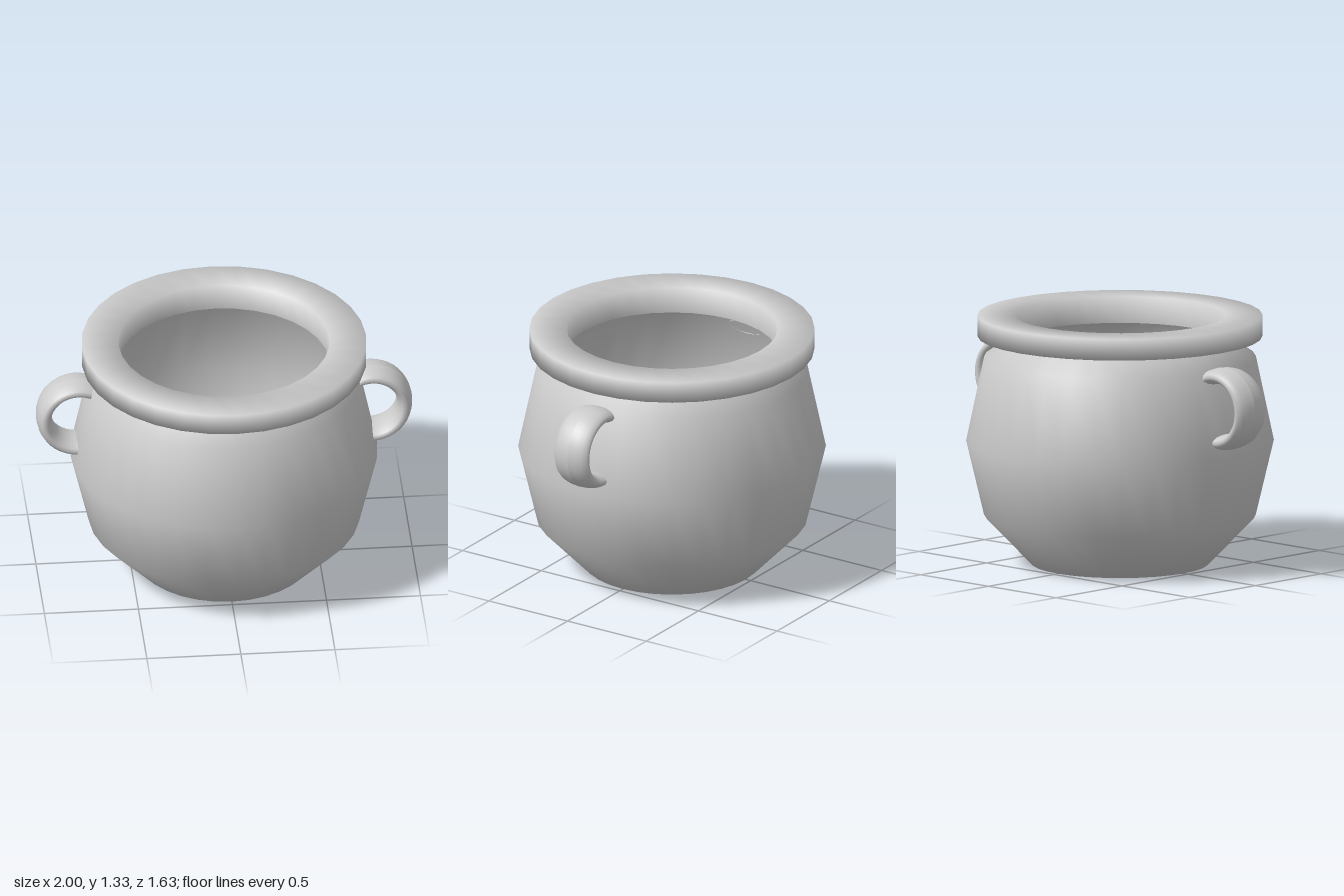
import * as THREE from 'three';

const SEGMENTS = 32;

// Smooth surface of revolution from [radius, height] pairs
function lathe(name, profile, material) {
  const points = profile.map(([r, y]) => new THREE.Vector2(r, y));
  const mesh = new THREE.Mesh(new THREE.LatheGeometry(points, SEGMENTS), material);
  mesh.name = name;
  return mesh;
}

export function createModel() {
  const group = new THREE.Group();
  group.name = 'pot';
  const material = new THREE.MeshStandardMaterial({ color: 0xcccccc, side: THREE.DoubleSide });

  // Thin round-bellied body, open at the top
  group.add(lathe('body', [
    [0, 0], [0.47, 0], [0.72, 0.26], [0.815, 0.66], [0.72, 1.11], [0.56, 1.22],
  ], material));

  // Thick overhanging rim
  group.add(lathe('rim', [
    [0.56, 1.19], [0.755, 1.22], [0.755, 1.333], [0.56, 1.333], [0.56, 1.19],
  ], material));

  // Wide strap handles: ring arcs stretched along z, ends sunk into the body
  const start = THREE.MathUtils.degToRad(-97);
  const arc = THREE.MathUtils.degToRad(210);
  const handle = new THREE.TorusGeometry(0.178, 0.042, 16, 24, arc);
  handle.rotateZ(start);
  handle.scale(1, 1, 0.108 / 0.042);
  handle.computeVertexNormals();
  for (const side of [1, -1]) {
    const mesh = new THREE.Mesh(handle, material);
    mesh.name = side > 0 ? 'leftHandle' : 'rightHandle';
    mesh.position.set(side * 0.78, 0.925, 0);
    if (side < 0) mesh.rotation.y = Math.PI;
    group.add(mesh);
  }
  return group;
}
